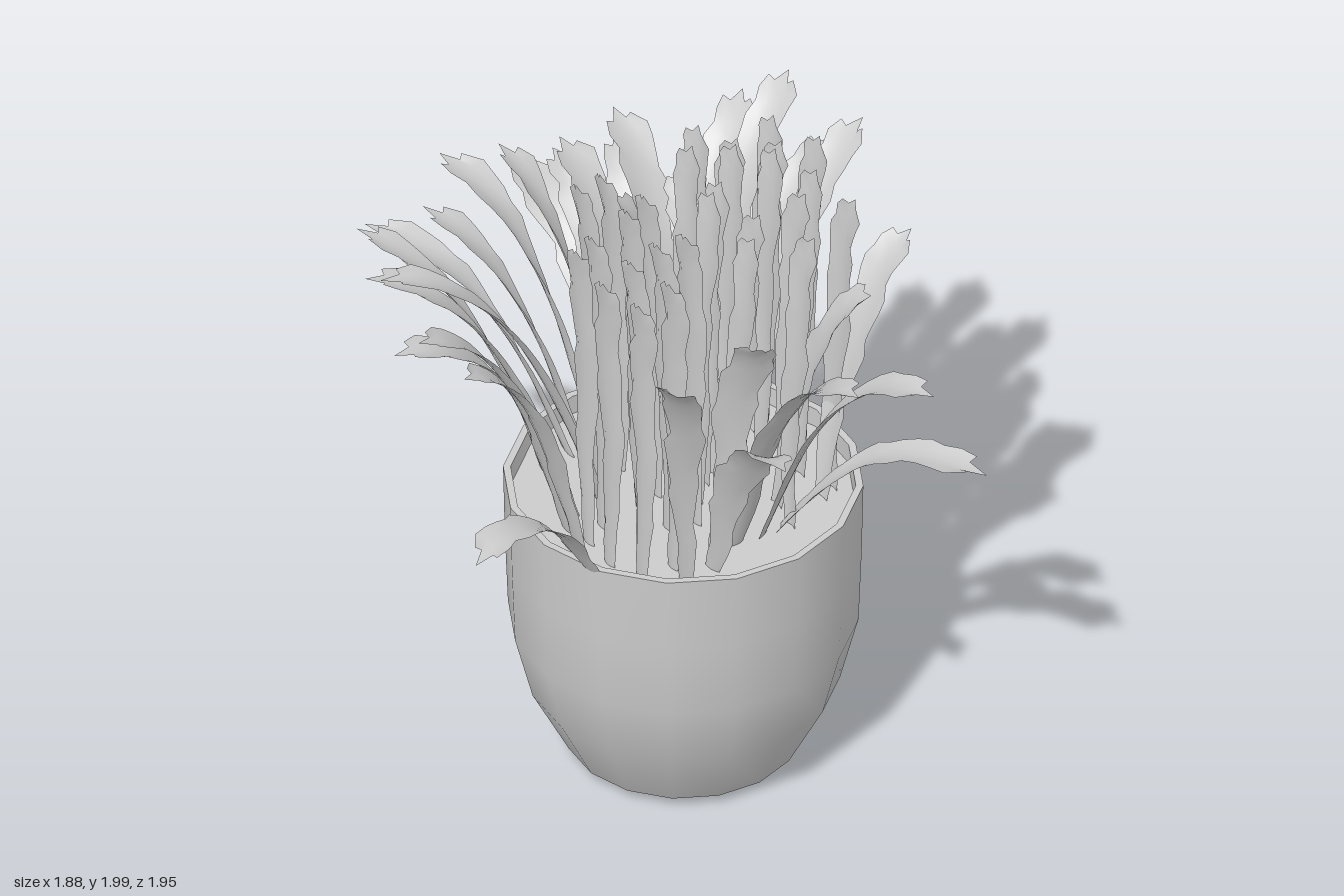
import * as THREE from 'three';

const CX = 0.075, CZ = 0.07, SOIL = 0.88;
const material = new THREE.MeshStandardMaterial({ color: 0xcccccc });
const leafMaterial = new THREE.MeshStandardMaterial({ color: 0xcccccc, side: THREE.DoubleSide });

let seed = 7;
const rand = () => (seed = (seed * 16807) % 2147483647) / 2147483647;

function lathe(name, points) {
  const geometry = new THREE.LatheGeometry(points.map(p => new THREE.Vector2(...p)), 16);
  const mesh = new THREE.Mesh(geometry, material);
  mesh.name = name;
  mesh.position.set(CX, 0, CZ);
  return mesh;
}

// Ragged ribbon swept along an arching curve; it grows up, then bends out to its tip.
// Its flat face turns from sideways toward the bend: face = [share at base, share at tip].
function leaf(name, [bx, bz], [tx, tz, ty], droop, width, face) {
  const dx = tx - bx, dz = tz - bz, reach = Math.hypot(dx, dz);
  const curve = new THREE.CubicBezierCurve3(
    new THREE.Vector3(bx, SOIL - 0.01, bz),
    new THREE.Vector3(bx + dx * 0.2, SOIL + (ty - SOIL) * 0.45, bz + dz * 0.2),
    new THREE.Vector3(bx + dx * 0.45, ty - 0.12 * (1 - droop) + 0.06 * droop, bz + dz * 0.45),
    new THREE.Vector3(tx, ty, tz));
  const across = new THREE.Vector3(-dz / reach, 0, dx / reach);
  const sideways = new THREE.Vector3(0, 0, tx < CX ? -1 : 1);
  const rows = 18, positions = [], index = [];
  const phase = rand() * 6;
  for (let i = 0; i <= rows; i++) {
    const t = i / rows, last = i === rows;
    // The middle runs on past the two side points, making a three-pointed tip.
    const body = t * 0.95;
    const tangent = curve.getTangent(body);
    const side = sideways.clone().lerp(across, THREE.MathUtils.lerp(...face, t));
    side.addScaledVector(tangent, -side.dot(tangent)).normalize();
    const normal = new THREE.Vector3().crossVectors(side, tangent);
    const sway = Math.sin(t * 11 + phase) * 0.008;
    const grow = 0.45 + 0.55 * Math.min(1, t * 2.2);
    for (let j = -2; j <= 2; j++) {
      const edge = Math.abs(j) === 2;
      const tooth = 0.85 + 0.27 * (((i + (j > 0 ? 2 : 0)) % 4) / 3) + 0.1 * (rand() - 0.5);
      const half = width / 2 * grow * (edge ? tooth : 1) * (last ? 0.7 : 1);
      const s = last && j === 0 ? 1 : last && !edge ? body - 0.01 : body;
      const p = curve.getPoint(s);
      p.addScaledVector(side, half * j / 2 + sway);
      p.addScaledVector(normal, (j * j / 4) * 0.012 * grow);
      positions.push(p.x, p.y, p.z);
    }
  }
  for (let i = 0; i < rows; i++) {
    for (let j = 0; j < 4; j++) {
      const a = i * 5 + j, b = a + 1, c = a + 5, d = a + 6;
      index.push(a, b, c, b, d, c);
    }
  }
  const geometry = new THREE.BufferGeometry();
  geometry.setAttribute('position', new THREE.Float32BufferAttribute(positions, 3));
  geometry.setIndex(index);
  geometry.computeVertexNormals();
  const mesh = new THREE.Mesh(geometry, leafMaterial);
  mesh.name = name;
  return mesh;
}

const FLAT = [0.9, 1], TWISTED = [0.1, 0.6], SIDEWAYS = [0, 0.1];

// Arching leaves: base [x, z], tip [x, z, y], droop, turn of the face.
const backLeaves = [
  [[-0.06, -0.28], [-0.24, -0.98, 1.4], 1, TWISTED], [[0.05, -0.3], [0.03, -0.97, 1.53], 0.8, TWISTED],
  [[0.16, -0.3], [0.29, -0.94, 1.4], 1, TWISTED], [[0.3, -0.28], [0.5, -0.86, 1.1], 1.3, FLAT],
  [[-0.17, -0.25], [-0.45, -0.77, 1.6], 0.3, TWISTED], [[-0.08, -0.18], [-0.25, -0.71, 1.62], 0.3, TWISTED],
  [[0.03, -0.18], [0.0, -0.68, 1.74], 0.3, TWISTED], [[0.13, -0.18], [0.21, -0.69, 1.62], 0.6, TWISTED],
  [[0.27, -0.2], [0.44, -0.69, 1.57], 0.4, TWISTED], [[0.06, -0.08], [0.05, -0.46, 1.87], 0, FLAT],
  [[0.2, -0.08], [0.25, -0.45, 1.89], 0, FLAT], [[0.12, 0.05], [0.03, -0.2, 1.82], 0.3, TWISTED],
  [[0.2, 0.05], [0.31, -0.22, 1.78], 0.3, TWISTED],
];
const rightLeaves = [
  [[-0.2, -0.12], [-0.67, -0.47, 1.69], 0.6, TWISTED], [[-0.14, -0.04], [-0.72, -0.34, 1.78], 0.7, TWISTED],
  [[-0.23, -0.05], [-0.78, -0.21, 1.62], 0.8, TWISTED], [[-0.3, 0.0], [-0.8, -0.08, 1.75], 0.4, TWISTED],
  [[-0.34, 0.1], [-0.75, 0.07, 1.68], 0.4, TWISTED], [[-0.38, 0.23], [-0.94, 0.35, 1.26], 1.2, FLAT],
];
const leftLeaves = [
  [[0.38, -0.27], [0.81, -0.55, 1.63], 0.4, TWISTED], [[0.4, -0.2], [0.86, -0.4, 1.76], 0.4, TWISTED],
  [[0.42, -0.12], [0.91, -0.27, 1.57], 0.8, TWISTED], [[0.42, -0.05], [0.94, -0.15, 1.69], 0.4, TWISTED],
  [[0.37, 0.33], [0.71, 0.34, 1.68], 0.2, TWISTED],
];
const frontLeaves = [
  [[0.17, 0.38], [0.47, 0.97, 1.27], 1.2, FLAT], [[0.13, 0.37], [0.33, 0.9, 1.58], 0.8, FLAT],
  [[0.03, 0.36], [0.05, 0.9, 1.71], 0.5, FLAT], [[-0.1, 0.4], [-0.24, 0.92, 1.59], 0.5, TWISTED],
  [[-0.2, 0.4], [-0.45, 0.68, 1.82], 0, TWISTED], [[-0.06, 0.38], [-0.1, 0.64, 1.8], 0, TWISTED],
  [[0.25, 0.28], [0.37, 0.56, 1.72], 0.2, TWISTED],
];

// Upright leaves in the middle: [x, z].
const uprights = [
  [-0.32, 0.08], [-0.34, 0.21], [-0.23, 0.21], [-0.31, 0.32], [-0.21, 0.34], [-0.1, 0.05],
  [-0.1, 0.18], [-0.02, 0.03], [-0.02, 0.2], [-0.02, -0.13], [-0.09, -0.15], [0.11, 0.13],
  [0.18, 0.08], [0.18, 0.23], [0.29, 0.03], [0.36, -0.05], [0.36, 0.11], [0.34, 0.24],
  [0.46, 0.0], [0.4, 0.08], [0.5, 0.13], [0.42, 0.21], [0.45, 0.32], [0.08, 0.32],
  [0.29, -0.12], [0.24, 0.38], [-0.24, 0.06], [0.2, -0.05],
];

export function createModel() {
  const model = new THREE.Group();

  // Pot: curved wall with base, flat rim, inner wall and soil
  const pot = new THREE.Group();
  pot.name = 'pot';
  pot.add(
    lathe('potWall', [[0, 0], [0.29, 0], [0.31, 0.01], [0.345, 0.035], [0.455, 0.25],
      [0.508, 0.46], [0.517, 0.7], [0.522, 0.94]]),
    lathe('potRim', [[0.522, 0.94], [0.5, 0.94]]),
    lathe('potLining', [[0.5, 0.94], [0.497, SOIL - 0.02]]),
    lathe('soil', [[0.499, SOIL], [0, SOIL]]));
  model.add(pot);

  // Outer leaves, arching away on every side
  const sides = { backLeaf: backLeaves, rightLeaf: rightLeaves, leftLeaf: leftLeaves, frontLeaf: frontLeaves };
  for (const [name, list] of Object.entries(sides)) {
    const group = new THREE.Group();
    group.name = name + 'Group';
    for (const [base, tip, droop, face] of list) group.add(leaf(name, base, tip, droop, 0.122, face));
    model.add(group);
  }

  // Inner leaves, nearly vertical with their flat faces toward the sides
  const inner = new THREE.Group();
  inner.name = 'uprightLeafGroup';
  for (const [x, z] of uprights) {
    const lean = x < CX ? -0.025 : 0.025;
    const height = 2 - 0.6 * (z - 0.06) ** 2 - rand() * 0.06;
    const tip = [x + lean, z + (z - 0.05) * 0.15, height];
    inner.add(leaf('uprightLeaf', [x - lean, z], tip, 0, 0.105, SIDEWAYS));
  }
  model.add(inner);
  return model;
}
